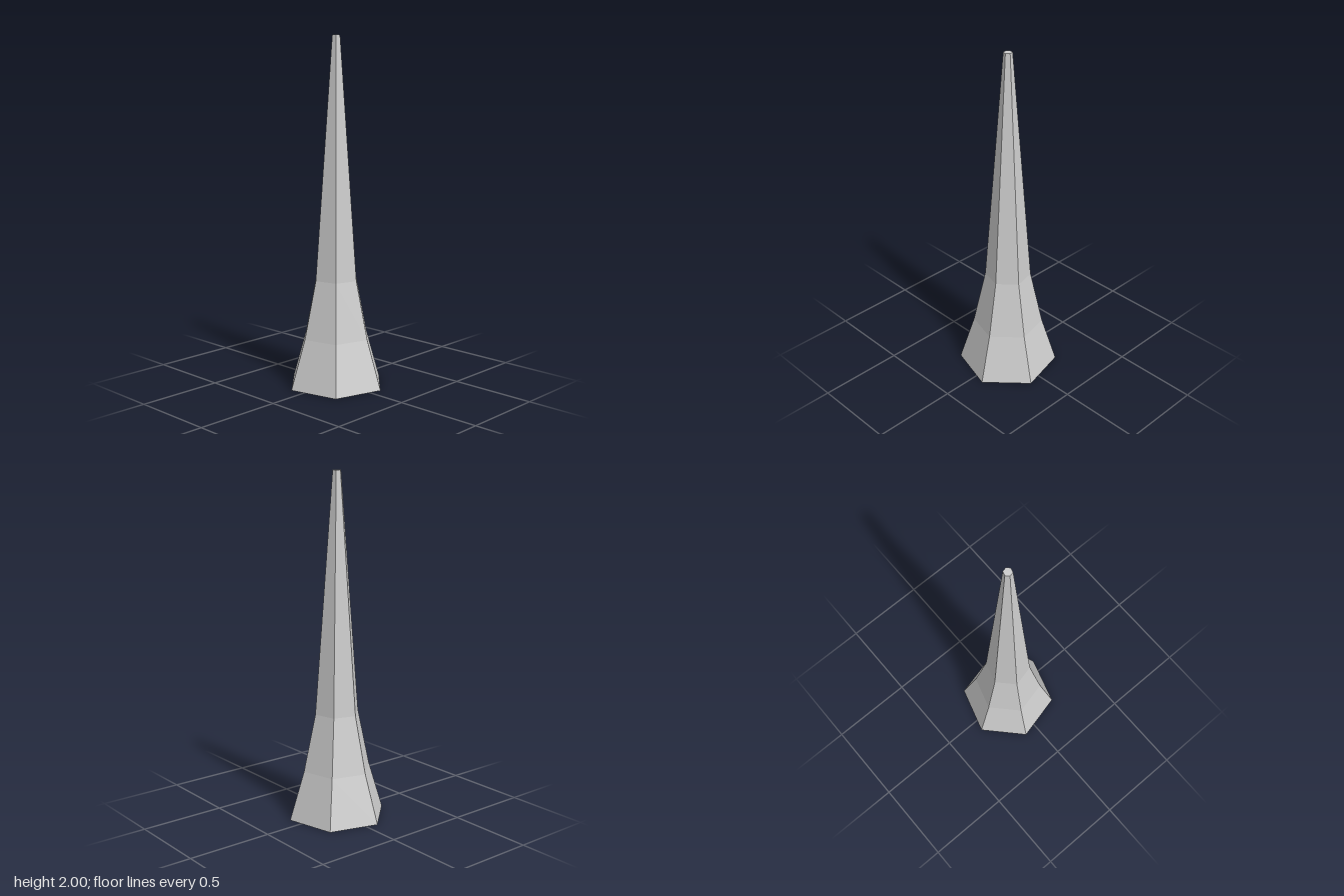
import * as THREE from 'three';

export function createModel() {
  const group = new THREE.Group();
  group.name = 'spire';

  // Closed profile: flared foot, two bends, long taper to a small flat tip
  const profile = [
    [0, 0], [0.293, 0], [0.205, 0.285], [0.133, 0.62], [0.025, 2], [0, 2],
  ].map(([r, y]) => new THREE.Vector2(r, y));

  // Six-sided shaft, turned slightly about its axis
  const geometry = new THREE.LatheGeometry(profile, 6, THREE.MathUtils.degToRad(13.5));
  const material = new THREE.MeshStandardMaterial({ color: 0xcccccc, flatShading: true });
  const shaft = new THREE.Mesh(geometry, material);
  shaft.name = 'hexagonalShaft';
  group.add(shaft);

  return group;
}
